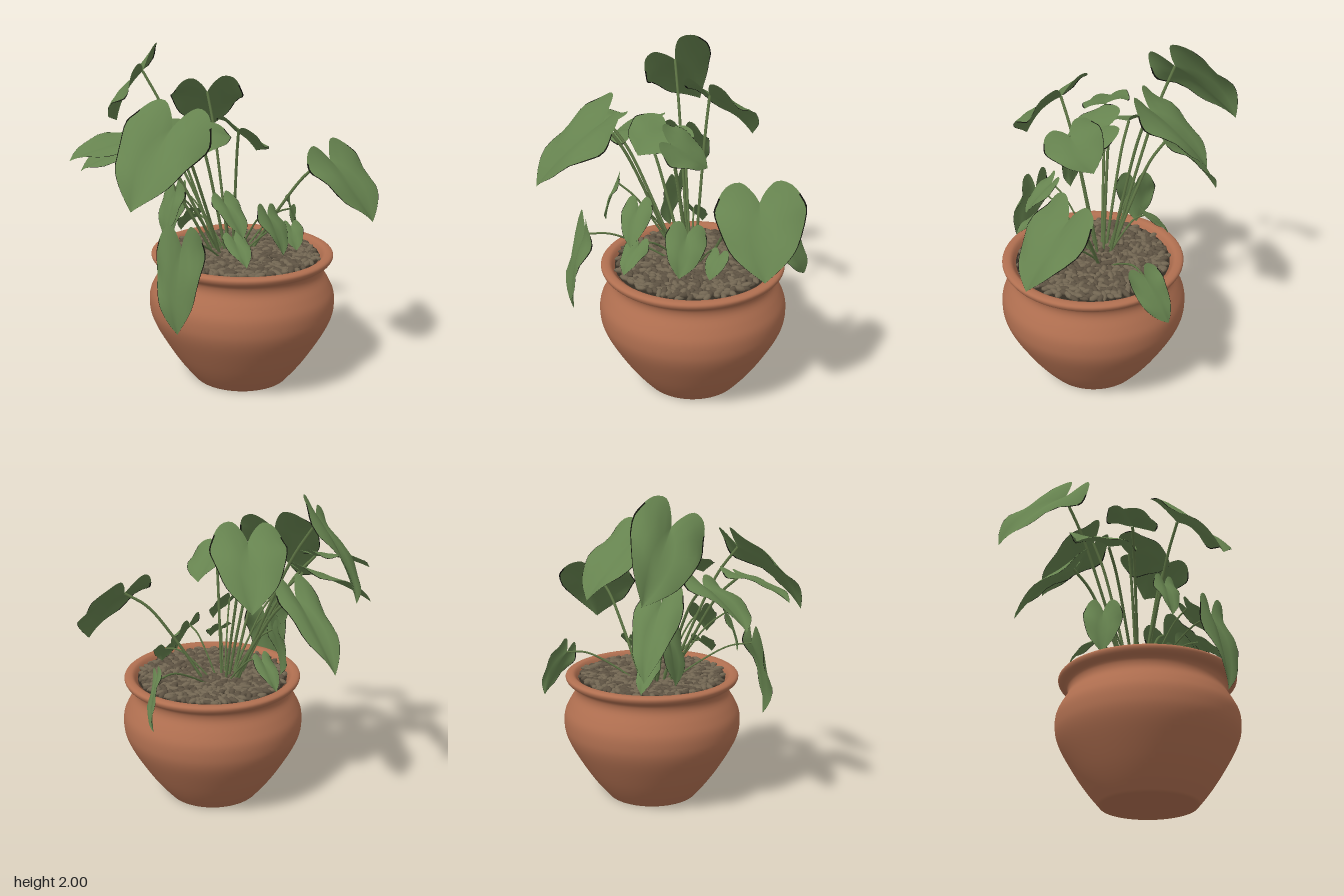
import * as THREE from 'three';
import { mergeGeometries } from 'three/addons/utils/BufferGeometryUtils.js';

const material = (name, color, side = THREE.FrontSide) =>
  Object.assign(new THREE.MeshStandardMaterial({ color, side }), { name });
const V = (p) => new THREE.Vector3(...p);
const POT = new THREE.Vector3(0.11, 0, 0.22);

// Half outline of a heart-shaped leaf: x = share of half width, y = share of midrib
const outline = new THREE.SplineCurve([
  [0, 0], [0.14, -0.13], [0.4, -0.25], [0.72, -0.2], [0.94, -0.02], [1, 0.17],
  [0.74, 0.6], [0.42, 0.82], [0, 1],
].map(([x, y]) => new THREE.Vector2(x, y)));

// Leaf blade: midrib from notch to tip, half width, and roll about the midrib
function leafGeometry(notch, tip, width, roll, seed) {
  const cols = [-1, -0.97, -0.8, -0.55, -0.28, 0, 0.28, 0.55, 0.8, 0.97, 1];
  const rows = 24, w = cols.length - 1;
  const rib = tip.clone().sub(notch), len = rib.length(), axis = rib.clone().normalize();
  const side = axis.clone().cross(new THREE.Vector3(0, 1, 0)).normalize();
  const up = side.clone().cross(axis);
  [side, up].forEach((v) => v.applyAxisAngle(axis, -roll));

  const geo = new THREE.PlaneGeometry(1, 1, w, rows);
  const pos = geo.attributes.position, p = new THREE.Vector3();
  for (let i = 0; i <= rows; i++) {
    const edge = outline.getPoint(i / rows);
    cols.forEach((c, j) => {
      const a = Math.abs(c), s = a * edge.x;
      const t = THREE.MathUtils.lerp(i / rows, edge.y, a);
      const dome = 0.22 * Math.max(0, t) * (1 - t) + 0.22 * s * (1 - s);
      const ripple = 0.04 * s * s * Math.sin(9 * t + 2 * c + seed);
      p.copy(notch).addScaledVector(rib, t).addScaledVector(side, Math.sign(c) * s * width)
        .addScaledVector(up, len * (dome + ripple));
      pos.setXYZ(i * (w + 1) + j, p.x, p.y, p.z);
    });
  }
  geo.computeVertexNormals();

  // Dark dry margin along the outer half of the blade
  geo.clearGroups();
  const first = 11;
  geo.addGroup(0, first * w * 6, 0);
  for (let i = first; i < rows; i++) {
    const start = i * w * 6;
    geo.addGroup(start, 6, 1);
    geo.addGroup(start + 6, (w - 2) * 6, 0);
    geo.addGroup(start + (w - 1) * 6, 6, 1);
  }
  return geo;
}

// Notch, tip, half width, roll
const LARGE_LEAVES = [
  [[-0.2, 1.83, -0.38], [-0.16, 1.46, -0.77], 0.22, 0.72],
  [[0.1, 1.71, -0.13], [0.29, 1.39, -0.42], 0.22, 0.05],
  [[0.57, 1.34, 0.47], [0.68, 1.0, 0.74], 0.25, -0.08],
  [[-0.42, 1.62, 0.27], [-0.79, 1.23, 0.42], 0.25, 0.25],
  [[-0.32, 1.45, -0.13], [-0.64, 1.27, -0.39], 0.185, 0.3],
  [[-0.5, 1.5, -0.03], [-0.83, 1.4, -0.17], 0.15, 0.25],
  [[-0.12, 1.38, -0.3], [-0.13, 1.0, -0.65], 0.14],
  [[-0.11, 1.54, 0.05], [-0.2, 1.45, 0.29], 0.21, 0.2],
  [[0, 1.56, 0.32], [0.2, 1.4, 0.23], 0.18, -0.35],
];
const SMALL_LEAVES = [
  [[-0.48, 0.98, 0.44], [-0.55, 0.5, 0.5], 0.14, -0.1],
  [[0.62, 0.93, 0.05], [0.73, 0.67, -0.06], 0.1, -1.16],
  [[-0.16, 1.18, 0.4], [-0.15, 1.0, 0.57], 0.09],
  [[-0.14, 0.97, 0.47], [-0.17, 0.85, 0.63], 0.075],
  [[0.14, 1.06, 0.42], [0.14, 0.85, 0.57], 0.12, 0.35],
  [[0.33, 0.95, 0.41], [0.3, 0.83, 0.5], 0.07],
  [[-0.1, 1.13, -0.11], [-0.15, 0.83, -0.13], 0.12, 0.1],
  [[0, 0.96, -0.14], [0.01, 0.81, -0.29], 0.07],
  [[-0.36, 1.22, 0.2], [-0.44, 0.98, 0.22], 0.08],
];

export function createModel() {
  const model = new THREE.Group();
  model.name = 'pottedPlant';
  const clay = material('terracotta', 0xb06f50, THREE.DoubleSide);
  const leafGreen = material('leafGreen', 0x66834f, THREE.DoubleSide);
  const margin = material('leafMargin', 0x11120c, THREE.DoubleSide);
  const stalkGreen = material('stalkGreen', 0x5d7444);
  const stones = [material('paleStone', 0x726652), material('darkStone', 0x5d5242)];
  const soilBrown = material('soil', 0x332c23);
  const add = (name, geo, mat, parent = model) => {
    const mesh = new THREE.Mesh(geo, mat);
    mesh.name = name;
    parent.add(mesh);
    return mesh;
  };

  // Pot: shallow foot, then a smooth curve over belly, neck and flared rim
  const foot = [[0, 0.012], [0.27, 0.012]].map(([x, y]) => new THREE.Vector2(x, y));
  const wall = new THREE.SplineCurve([
    [0.29, 0], [0.36, 0.085], [0.43, 0.185], [0.51, 0.32], [0.55, 0.41], [0.561, 0.48],
    [0.555, 0.55], [0.525, 0.615], [0.488, 0.68], [0.493, 0.73], [0.535, 0.757],
    [0.547, 0.785], [0.53, 0.8], [0.49, 0.795], [0.46, 0.74],
  ].map(([x, y]) => new THREE.Vector2(x, y)));
  add('pot', new THREE.LatheGeometry([...foot, ...wall.getPoints(56)], 72), clay).position.copy(POT);

  // Soil under the pebbles
  const soil = add('soil', new THREE.CircleGeometry(0.465, 48).rotateX(-Math.PI / 2), soilBrown);
  soil.position.set(POT.x, 0.772, POT.z);

  // Pebbles: flattened long stones spread in a sunflower pattern
  let state = 7;
  const rnd = () => (state = (state * 16807) % 2147483647) / 2147483647;
  const piles = [[], []];
  const count = 560;
  for (let i = 0; i < count; i++) {
    const r = 0.447 * Math.sqrt((i + 0.5) / count), a = i * 2.39996;
    const stone = new THREE.SphereGeometry(1, 7, 5);
    stone.scale(0.03 + 0.012 * rnd(), 0.013 + 0.004 * rnd(), 0.016 + 0.005 * rnd());
    stone.rotateZ((rnd() - 0.5) * 0.6).rotateY(rnd() * Math.PI);
    stone.translate(POT.x + r * Math.cos(a), 0.776 + 0.012 * rnd(), POT.z + r * Math.sin(a));
    piles[rnd() < 0.55 ? 0 : 1].push(stone);
  }
  piles.forEach((pile, i) => add(i ? 'darkPebbles' : 'palePebbles', mergeGeometries(pile), stones[i]));

  // Leaves, each on a thin arching stalk rooted near the middle
  const growLeaves = (leaves, name, arch, thickness) => leaves.forEach(([notch, tip, width, roll = 0], i) => {
    const plant = new THREE.Group();
    plant.name = name + (i + 1);
    model.add(plant);
    const end = V(notch);
    add('leaf', leafGeometry(end, V(tip), width, roll, i * 1.7), [leafGreen, margin], plant);

    const root = new THREE.Vector3(0.07 + 0.2 * end.x, 0.76, 0.13 + 0.15 * end.z);
    const at = (k, lift) => root.clone().lerp(end, k).add(new THREE.Vector3(0, lift, 0));
    const path = new THREE.CatmullRomCurve3([root, at(0.35, arch * 0.8), at(0.72, arch), end]);
    add('stalk', new THREE.TubeGeometry(path, 20, thickness, 6), stalkGreen, plant);
  });
  growLeaves(LARGE_LEAVES, 'largeLeaf', 0.08, 0.009);
  growLeaves(SMALL_LEAVES, 'smallLeaf', 0.05, 0.006);
  return model;
}
